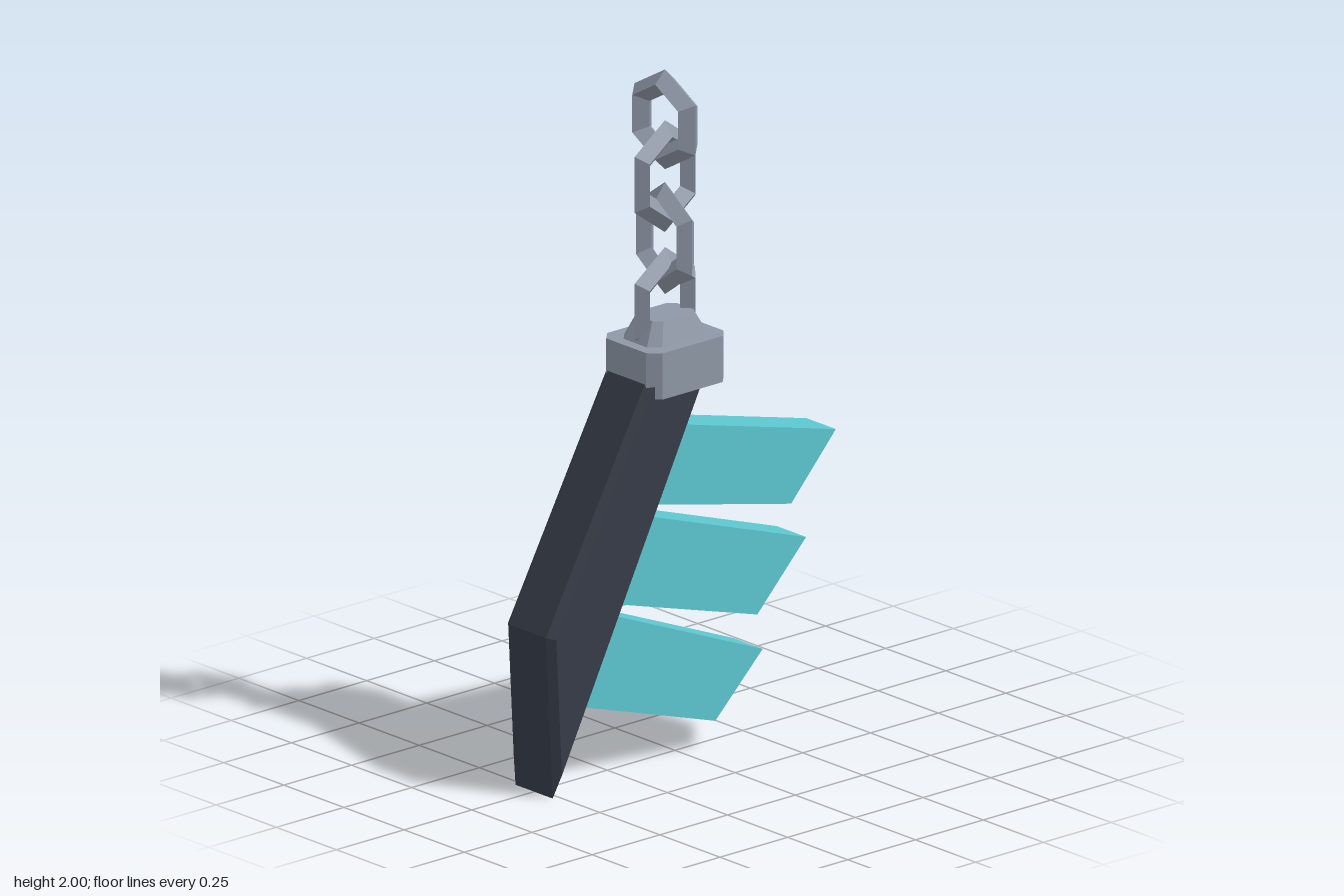
import * as THREE from 'three';

const AXIS_X = -0.037; // centre line of collar and chain

const mat = (name, color) => Object.assign(new THREE.MeshStandardMaterial({ color, flatShading: true }), { name });

// Joins convex counter-clockwise [x, y] rings stacked along z, with flat end caps
function loft(rings) {
  const n = rings[0].pts.length;
  const pos = rings.flatMap(({ z, pts }) => pts.flatMap(([x, y]) => [x, y, z]));
  const idx = [];
  for (let i = 0; i < rings.length - 1; i++) {
    for (let j = 0; j < n; j++) {
      const a = i * n + j, b = i * n + (j + 1) % n;
      idx.push(a, b, b + n, a, b + n, a + n);
    }
  }
  const top = (rings.length - 1) * n;
  for (let j = 1; j < n - 1; j++) idx.push(0, j + 1, j, top, top + j, top + j + 1);
  const indexed = new THREE.BufferGeometry();
  indexed.setAttribute('position', new THREE.Float32BufferAttribute(pos, 3));
  indexed.setIndex(idx);
  const geo = indexed.toNonIndexed();
  geo.computeVertexNormals();
  return geo;
}

// Rectangle with cut corners
const octagon = (w, h, c) => [
  [-w + c, -h], [w - c, -h], [w, -h + c], [w, h - c],
  [w - c, h], [-w + c, h], [-w, h - c], [-w, -h + c],
];

export function createModel() {
  const model = new THREE.Group();
  const steel = mat('steel', 0x8e97a6);
  const dark = mat('darkMetal', 0x363c48);
  const teal = mat('teal', 0x5cc5cf);

  const add = (name, geo, material, x = 0, y = 0) => {
    const mesh = new THREE.Mesh(geo, material);
    mesh.name = name;
    mesh.position.set(x, y, 0);
    model.add(mesh);
    return mesh;
  };

  // Slanted shaft with bevelled edges and a pointed lower end
  const outer = [[-0.545, 0.475], [-0.52, 0.0], [0.08, 1.195], [-0.145, 1.195]];
  const inner = [[-0.527, 0.47], [-0.506, 0.07], [0.059, 1.195], [-0.125, 1.195]];
  add('shaft', loft([
    { z: -0.1, pts: inner }, { z: -0.077, pts: outer },
    { z: 0.077, pts: outer }, { z: 0.1, pts: inner },
  ]), dark);

  // Three slanted teeth, their roots sunk into the shaft
  const teeth = [
    [[-0.045, 0.98], [-0.155, 0.77], [0.375, 0.65], [0.54, 0.83]],
    [[-0.165, 0.74], [-0.285, 0.51], [0.25, 0.355], [0.43, 0.54]],
    [[-0.305, 0.485], [-0.415, 0.24], [0.095, 0.08], [0.27, 0.25]],
  ];
  teeth.forEach(([a, b, c, d], i) => {
    const sink = (p, q) => [p[0] - (q[0] - p[0]) * 0.1, p[1] - (q[1] - p[1]) * 0.1];
    const pts = [sink(a, d), sink(b, c), c, d];
    add('tooth' + (i + 1), loft([{ z: -0.061, pts }, { z: 0.061, pts }]), teal);
  });

  // Collar block and its tapered cap
  const block = octagon(0.143, 0.115, 0.032);
  add('collar', loft([{ z: 1.09, pts: block }, { z: 1.225, pts: block }]).rotateX(-Math.PI / 2), steel, AXIS_X);
  add('collarCap', loft([
    { z: 1.22, pts: octagon(0.112, 0.08, 0.03) },
    { z: 1.29, pts: octagon(0.076, 0.055, 0.022) },
  ]).rotateX(-Math.PI / 2), steel, AXIS_X);

  // Hexagonal chain links with diamond section, alternately turned
  const links = [
    { y: 1.317, R: 0.097, r: 0.032, stretch: 1.27 },
    { y: 1.507, R: 0.097, r: 0.032, stretch: 1.27, turned: true },
    { y: 1.688, R: 0.097, r: 0.032, stretch: 1.27 },
    { y: 1.854, R: 0.11, r: 0.036, stretch: 1, turned: true },
  ];
  links.forEach(({ y, R, r, stretch, turned }, i) => {
    const geo = new THREE.TorusGeometry(R, r, 4, 6).rotateZ(Math.PI / 6).scale(1, stretch, 1);
    if (turned) geo.rotateY(Math.PI / 2);
    add('chainLink' + (i + 1), geo, steel, AXIS_X, y);
  });

  return model;
}
